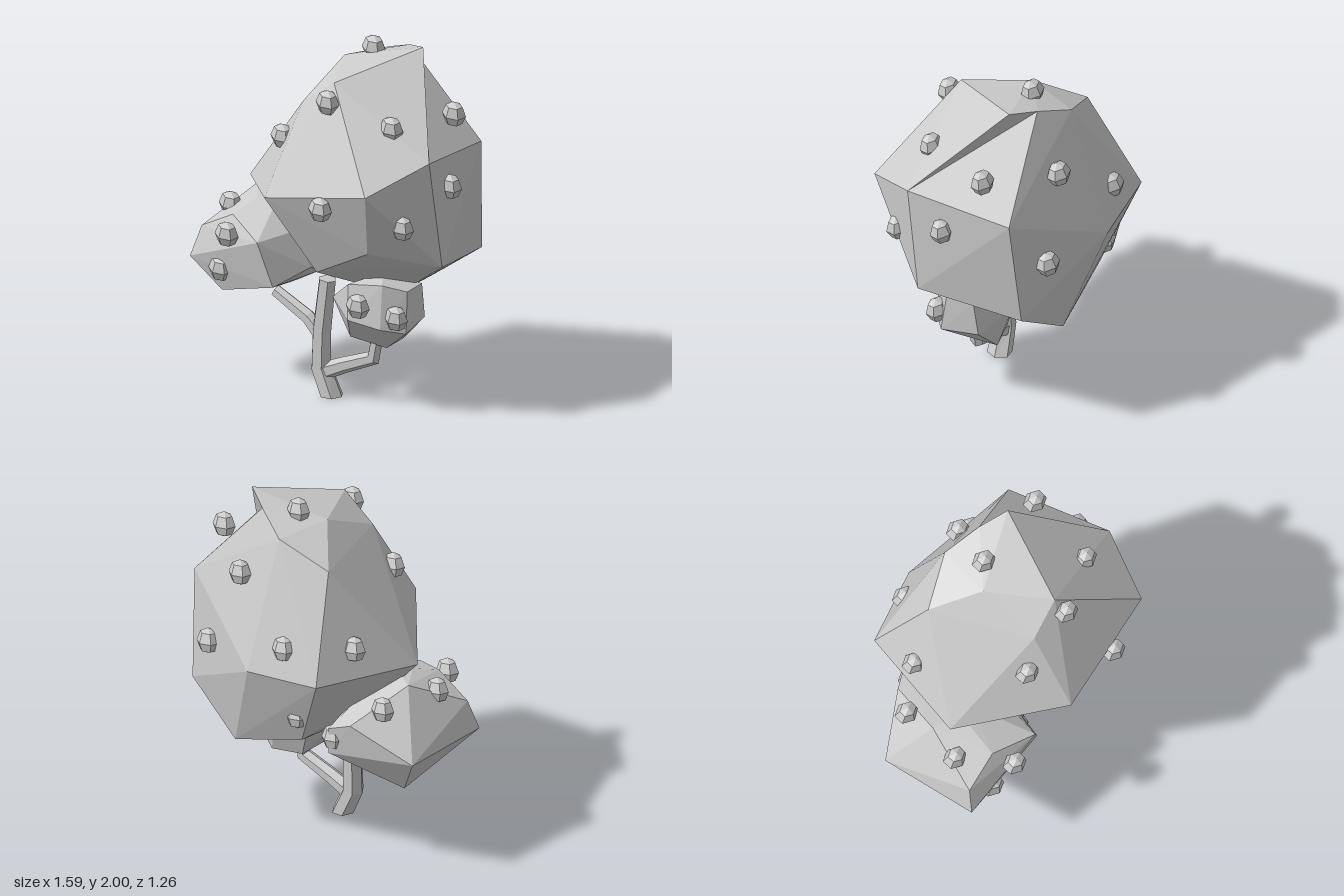
import * as THREE from 'three';
import { ConvexGeometry } from 'three/addons/geometries/ConvexGeometry.js';

const material = new THREE.MeshStandardMaterial({ color: 0xcccccc, flatShading: true });

function addMesh(parent, name, geometry) {
  const mesh = new THREE.Mesh(geometry, material);
  mesh.name = name;
  parent.add(mesh);
  return mesh;
}

// Faceted foliage mass spanned by its corner points
function foliage(corners) {
  return new ConvexGeometry(corners.map((c) => new THREE.Vector3(...c)));
}

// Six-sided limb with mitred joints; each point is [x, y, z, radius]
function limb(points) {
  const sides = 6, position = [], index = [];
  const last = points.length - 1;
  points.forEach(([x, y, z, r], i) => {
    const a = points[Math.max(i - 1, 0)], b = points[Math.min(i + 1, last)];
    const angle = Math.atan2(b[1] - a[1], b[0] - a[0]);
    const ux = Math.sin(angle), uy = -Math.cos(angle);
    for (let s = 0; s < sides; s++) {
      const t = (s / sides) * Math.PI * 2;
      const c = r * Math.cos(t);
      // the foot is cut level with the ground
      position.push(x + ux * c, y === 0 ? 0 : y + uy * c, z - r * Math.sin(t));
    }
    if (i === last) return;
    for (let s = 0; s < sides; s++) {
      const p = i * sides + s, q = i * sides + ((s + 1) % sides);
      index.push(p, q, q + sides, p, q + sides, p + sides);
    }
  });
  // end caps
  for (let s = 1; s < sides - 1; s++) {
    index.push(0, s + 1, s);
    index.push(last * sides, last * sides + s, last * sides + s + 1);
  }
  const geometry = new THREE.BufferGeometry();
  geometry.setAttribute('position', new THREE.Float32BufferAttribute(position, 3));
  geometry.setIndex(index);
  geometry.computeVertexNormals();
  return geometry;
}

export function createModel() {
  const tree = new THREE.Group();
  tree.name = 'tree';

  // Trunk and its two branches
  addMesh(tree, 'trunk', limb([
    [0.005, 0, 0.085, 0.07], [-0.06, 0.15, 0.085, 0.06],
    [-0.055, 0.36, 0.085, 0.056], [-0.02, 0.66, 0.085, 0.05],
  ]));
  addMesh(tree, 'rightBranch', limb([
    [-0.05, 0.33, 0.085, 0.05], [-0.14, 0.42, 0.085, 0.042], [-0.35, 0.53, 0.07, 0.036],
  ]));
  addMesh(tree, 'leftBranch', limb([
    [-0.04, 0.13, 0.085, 0.05], [0.08, 0.185, 0.085, 0.045],
    [0.265, 0.26, 0.085, 0.042], [0.29, 0.4, 0.085, 0.036],
  ]));

  // Main crown: a rounded body and a peak, which leave a notch behind the peak
  const shoulders = [
    [0.28, 1.94, -0.28], [0.09, 1.86, -0.39], [-0.02, 1.885, -0.1],
    [0.12, 1.86, 0.26], [0.5, 1.37, 0.59], [0.72, 1.51, 0.28],
  ];
  addMesh(tree, 'crown', foliage([
    ...shoulders,
    [-0.08, 1.72, 0.24], [-0.2, 1.73, -0.34], [-0.25, 1.61, -0.18],
    // widest part
    [-0.17, 1.23, 0.51], [0.7, 1.45, -0.32],
    [0.13, 1.14, -0.63], [-0.31, 1.17, -0.61], [-0.56, 1.13, -0.02],
    // underside
    [0.44, 1.0, 0.46], [0.755, 0.9, 0.2], [0.67, 0.82, -0.38], [0.07, 0.8, 0.36],
    [0.33, 0.58, -0.46], [-0.11, 0.72, -0.46], [0.3, 0.57, -0.11],
    [-0.1, 0.64, -0.05], [-0.3, 0.83, -0.1],
  ]));
  addMesh(tree, 'crownPeak', foliage([[0.42, 1.98, -0.18], ...shoulders]));

  // Lower foliage on the right branch
  addMesh(tree, 'rightFoliage', foliage([
    [-0.79, 0.7, 0.23], [-0.74, 0.7, -0.32], [-0.74, 0.87, 0.19], [-0.57, 1.05, -0.12],
    [-0.36, 1.05, 0.02], [-0.47, 1.04, 0.06], [-0.53, 0.98, 0.22], [-0.3, 0.9, 0.36],
    [-0.2, 0.91, 0.1], [-0.22, 0.65, 0.33], [-0.12, 0.71, 0.1], [-0.59, 0.54, 0.23],
    [-0.63, 0.49, -0.24], [-0.37, 0.51, -0.14], [-0.4, 0.88, -0.42], [-0.28, 0.84, -0.45],
    [-0.28, 0.69, -0.45], [-0.14, 0.64, -0.1],
  ]));

  // Lower foliage on the left branch
  addMesh(tree, 'leftFoliage', foliage([
    [0.02, 0.57, 0.1], [0.14, 0.37, 0.12], [0.36, 0.34, 0.11], [0.36, 0.34, -0.08],
    [0.18, 0.35, -0.05], [0.52, 0.47, 0.18], [0.51, 0.7, 0.15], [0.51, 0.7, -0.01],
    [0.51, 0.5, -0.04], [0.22, 0.53, 0.29], [0.41, 0.5, 0.27], [0.2, 0.72, 0.25],
    [0.4, 0.74, 0.23], [0.33, 0.765, 0.1], [0.1, 0.6, -0.1], [0.3, 0.57, -0.14],
  ]));

  // Faceted fruits dotted over the foliage
  const profile = [[0, -0.07], [0.05, -0.053], [0.072, -0.005], [0.05, 0.05], [0, 0.073]];
  const fruitGeometry = new THREE.LatheGeometry(profile.map((p) => new THREE.Vector2(...p)), 6);
  const fruits = new THREE.Group();
  fruits.name = 'fruits';
  tree.add(fruits);
  [
    // on the crown
    [0.12, 1.93, -0.17], [0.12, 1.77, 0.33], [0.475, 1.66, 0.26], [0.64, 1.655, -0.13],
    [-0.2, 1.5, 0.26], [0.21, 1.25, 0.57], [0.615, 1.16, 0.39], [0.73, 1.32, 0.07],
    [-0.06, 1.31, -0.56], [0.32, 1.6, -0.43], [0.51, 1.13, -0.46], [-0.37, 1.31, -0.34],
    [-0.1, 0.88, -0.49],
    // on the lower foliage
    [-0.64, 0.97, 0.05], [-0.53, 0.97, -0.3], [-0.5, 0.91, 0.34], [-0.59, 0.67, 0.25],
    [-0.28, 0.77, -0.41], [0.295, 0.63, 0.31], [0.48, 0.565, 0.22],
  ].forEach(([x, y, z]) => {
    const fruit = addMesh(fruits, 'fruit', fruitGeometry);
    fruit.position.set(x, y, z);
    fruit.rotation.set(0.1, -0.3, -0.1);
    fruit.scale.z = 0.82;
  });

  return tree;
}
